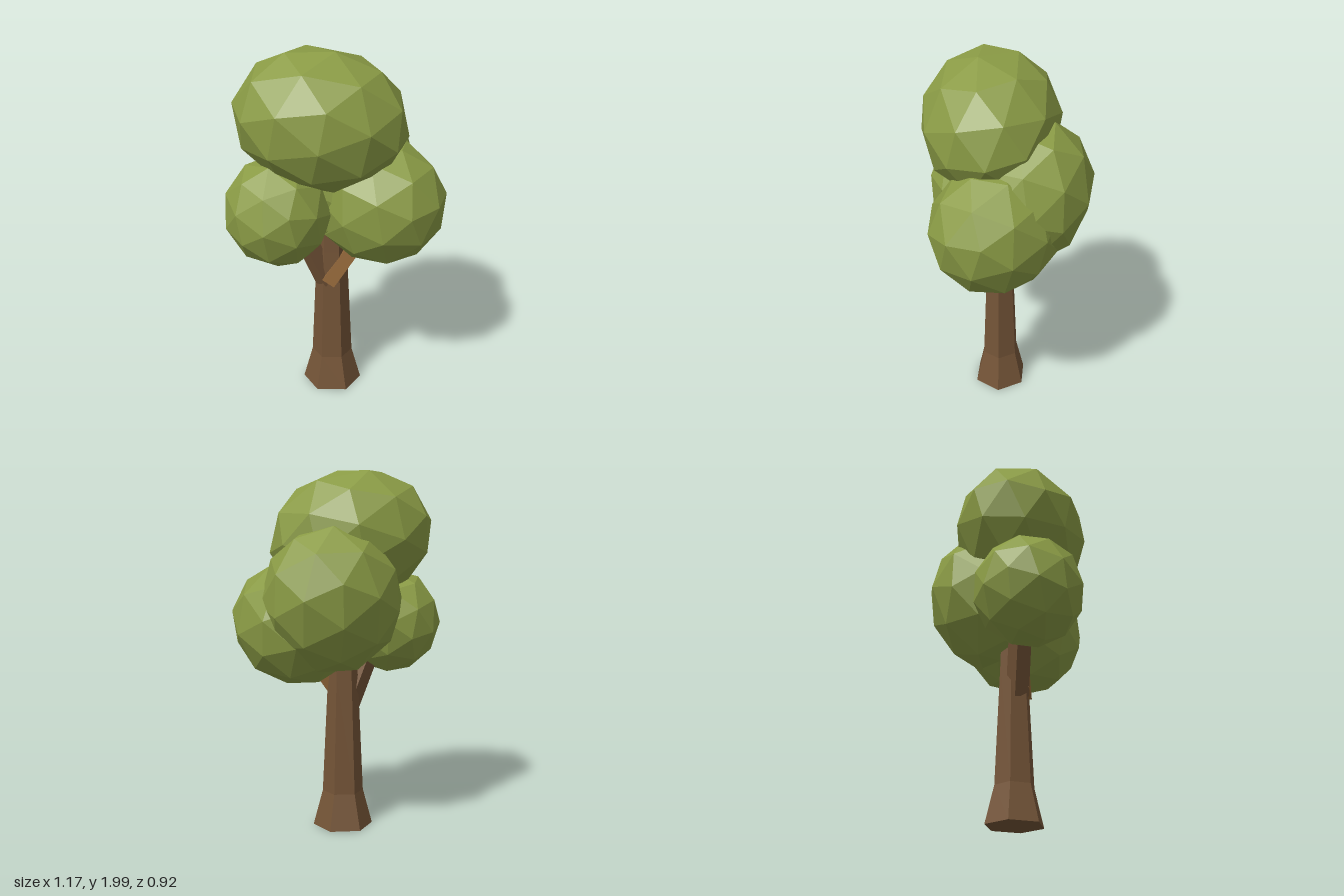
import * as THREE from 'three';

const mat = (name, color) => {
  const m = new THREE.MeshStandardMaterial({ color, flatShading: true });
  m.name = name;
  return m;
};

export function createModel() {
  const tree = new THREE.Group();
  tree.name = 'tree';
  const leaf = mat('leaf green', 0x8a9b45);
  const bark = mat('bark brown', 0x745437);
  const wood = mat('light branch brown', 0x94683a);

  const add = (name, geometry, material) => {
    const mesh = new THREE.Mesh(geometry, material);
    mesh.name = name;
    tree.add(mesh);
    return mesh;
  };

  // Hexagonal trunk, flared at the root: [radius, height], from the closed base up
  const profile = [[0, 0], [0.168, 0], [0.115, 0.2], [0.083, 0.88], [0.075, 1.15], [0, 1.15]]
    .map(([r, y]) => new THREE.Vector2(r, y));
  const trunkGeometry = new THREE.LatheGeometry(profile, 6, Math.PI / 2).toNonIndexed();
  trunkGeometry.computeVertexNormals();
  const trunk = add('trunk', trunkGeometry, bark);
  trunk.scale.z = 0.93;
  trunk.position.set(-0.025, 0, 0.033);

  // Four-sided branches running from the trunk into the crown
  const branch = (name, from, to, r0, r1, turn, material) => {
    const a = new THREE.Vector3(...from), b = new THREE.Vector3(...to);
    const dir = b.clone().sub(a);
    const mesh = add(name, new THREE.CylinderGeometry(r1, r0, dir.length(), 4, 1, false, turn), material);
    mesh.position.copy(a).add(b).multiplyScalar(0.5);
    mesh.quaternion.setFromUnitVectors(new THREE.Vector3(0, 1, 0), dir.normalize());
  };
  branch('leftwardBranch', [-0.045, 0.69, 0.085], [0.17, 1.0, 0.04], 0.056, 0.05, Math.PI / 4, wood);
  branch('rightwardBranch', [-0.055, 0.68, 0.055], [-0.19, 1.02, 0.1], 0.062, 0.062, 0, bark);

  // Faceted leaf clumps: centre, radii, rotation
  const clumps = [
    ['topLeaves', [-0.075, 1.635, 0.08], [0.46, 0.37, 0.375], [0.15, 0, -0.2]],
    ['rightLeaves', [-0.305, 1.16, 0.165], [0.285, 0.3, 0.298], [0.3, 0.4, 0.1]],
    ['leftLeaves', [0.228, 1.17, 0.032], [0.375, 0.352, 0.335], [0.1, -0.6, 0.2]],
    ['backLeaves', [0.05, 1.295, -0.115], [0.385, 0.415, 0.35], [-0.35, 0.1, 0]],
  ];
  for (const [name, centre, radii, turn] of clumps) {
    const mesh = add(name, new THREE.IcosahedronGeometry(1, 1), leaf);
    mesh.position.set(...centre);
    mesh.scale.set(...radii);
    mesh.rotation.set(...turn);
  }
  return tree;
}
